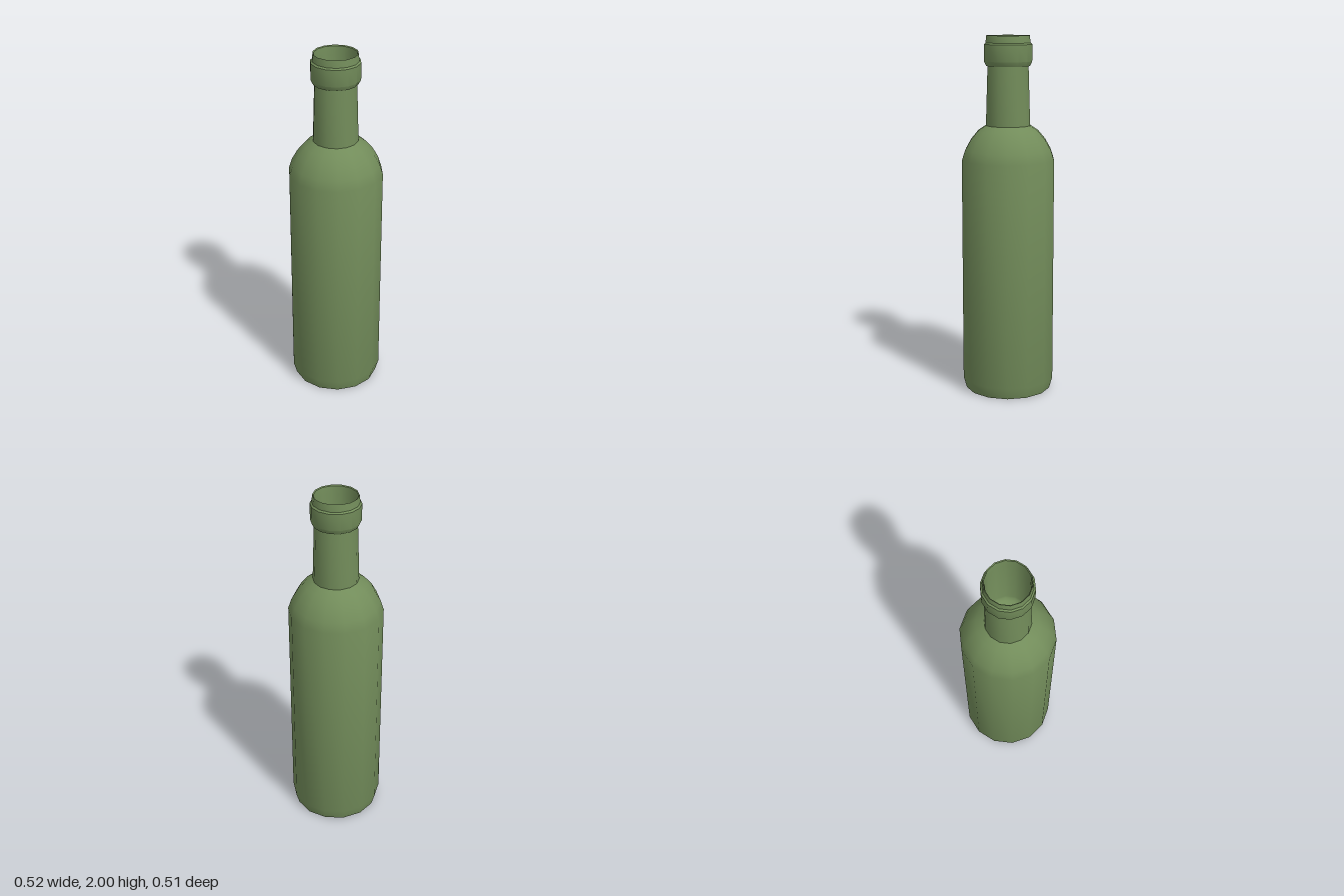
import * as THREE from 'three';
import { toCreasedNormals } from 'three/addons/utils/BufferGeometryUtils.js';

const SIDES = 14;

export function createModel() {
  const bottle = new THREE.Group();
  bottle.name = 'bottle';
  const glass = new THREE.MeshStandardMaterial({ color: 0x728c5a, side: THREE.DoubleSide });

  // Turns a [radius, height] profile into a named mesh with a corner on the x axis
  function turned(name, profile) {
    const points = profile.map(([r, y]) => new THREE.Vector2(r, y));
    const lathe = new THREE.LatheGeometry(points, SIDES, Math.PI / 2);
    const mesh = new THREE.Mesh(toCreasedNormals(lathe, 0.6), glass);
    mesh.name = name;
    bottle.add(mesh);
  }

  // Flat base, chamfered foot, straight wall and rounded shoulder
  turned('body', [
    [0, 0], [0.243, 0], [0.261, 0.065], [0.261, 1.32],
    [0.243, 1.375], [0.212, 1.43], [0.17, 1.48], [0.125, 1.51],
  ]);

  // Slightly tapered neck
  turned('neck', [[0.125, 1.51], [0.115, 1.835]]);

  // Raised ring below the mouth
  turned('collar', [[0.115, 1.835], [0.122, 1.835], [0.135, 1.86], [0.135, 1.952], [0.126, 1.96]]);

  // Mouth rim
  turned('lip', [[0.126, 1.96], [0.121, 2], [0.116, 1.995]]);

  // Inside of the neck, closed by a rounded floor
  const inside = [[0.116, 1.995], [0.112, 1.95]];
  for (let i = 0; i <= 6; i++) {
    const a = (i / 6) * Math.PI / 2;
    inside.push([0.112 * Math.cos(a), 1.58 - 0.06 * Math.sin(a)]);
  }
  inside[inside.length - 1][0] = 0;
  turned('neckInterior', inside);

  return bottle;
}
